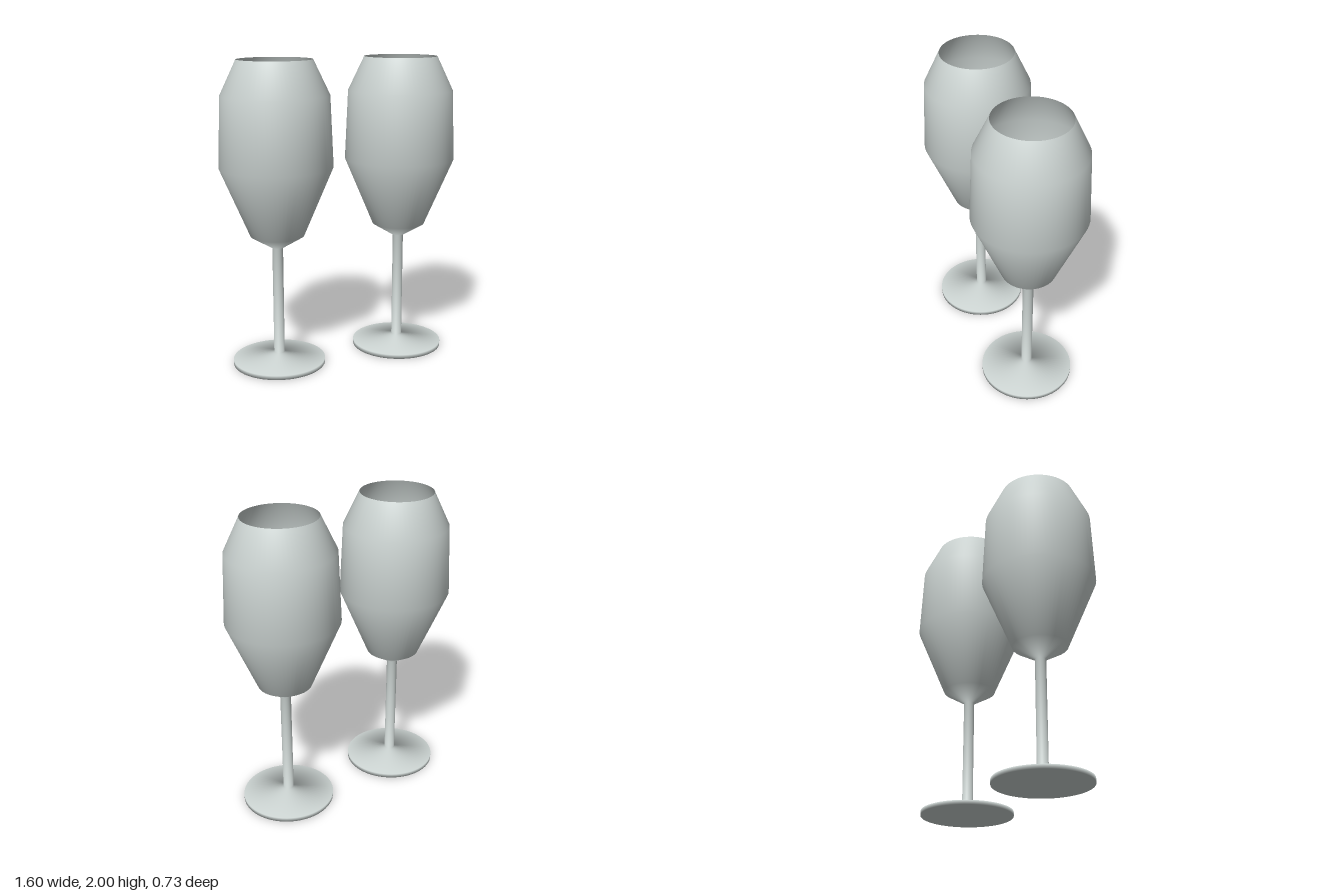
import * as THREE from 'three';

const SEGMENTS = 64;

const glass = new THREE.MeshStandardMaterial({ color: 0xcdd5d3, side: THREE.DoubleSide });
glass.name = 'pale grey glass';
const wine = new THREE.MeshStandardMaterial({ color: 0xe3cf84 });
wine.name = 'golden wine';

// Revolve a profile of [radius, height] pairs, listed from bottom to top
function lathe(name, profile, material) {
  const points = profile.map(([r, y]) => new THREE.Vector2(r, y));
  const mesh = new THREE.Mesh(new THREE.LatheGeometry(points, SEGMENTS), material);
  mesh.name = name;
  return mesh;
}

function createGlass(name) {
  const group = new THREE.Group();
  group.name = name;

  // Foot, stem and open bowl form one continuous thin shell
  group.add(lathe('glassShell', [
    [0, 0], [0.305, 0], [0.305, 0.028], // foot
    [0.035, 0.07], [0.035, 0.79], // stem
    [0.175, 0.875], [0.365, 1.325], [0.345, 1.78], [0.24, 2], // bowl
  ], glass));

  // Drink filling the lower part of the bowl
  group.add(lathe('drink', [
    [0, 0.878], [0.171, 0.878], [0.358, 1.32], [0, 1.32],
  ], wine));
  return group;
}

export function createModel() {
  const model = new THREE.Group();
  model.name = 'pairOfGlasses';
  for (const [name, x] of [['leftGlass', 0.435], ['rightGlass', -0.435]]) {
    const item = createGlass(name);
    item.position.x = x;
    model.add(item);
  }
  return model;
}
